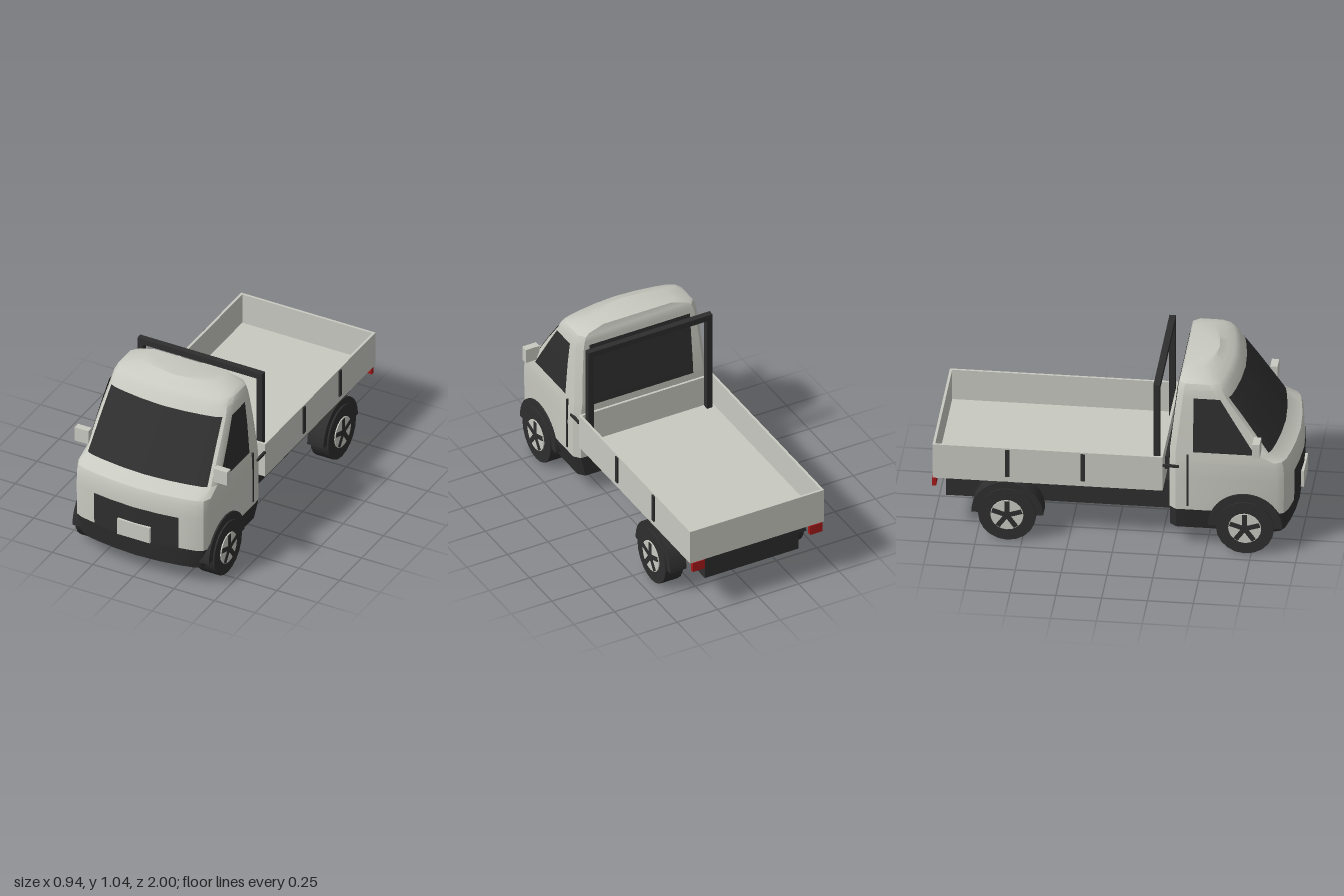
import * as THREE from 'three';
import { toCreasedNormals, mergeVertices } from 'three/addons/utils/BufferGeometryUtils.js';

const paint = new THREE.MeshStandardMaterial({ color: 0xc8c9c0 });
paint.name = 'body paint';
const dark = new THREE.MeshStandardMaterial({ color: 0x2e2e2e, side: THREE.DoubleSide });
dark.name = 'dark trim';
const red = new THREE.MeshStandardMaterial({ color: 0xa81818 });
red.name = 'tail light red';

// Cab levels: height, half width, front z, back z
const LEVELS = [
  [0.12, 0.383, 0.965, 0.3], [0.245, 0.41, 0.982, 0.3], [0.45, 0.411, 0.985, 0.3],
  [0.53, 0.409, 0.982, 0.3], [0.56, 0.407, 0.972, 0.3], [0.6, 0.403, 0.886, 0.3],
  [0.8, 0.388, 0.75, 0.322], [0.92, 0.375, 0.665, 0.336], [0.97, 0.367, 0.64, 0.341],
  [1.0, 0.355, 0.61, 0.346], [1.013, 0.335, 0.57, 0.353], [1.04, 0.24, 0.53, 0.36],
];
// Bow of the cab front: fraction of half width, setback
const BOW = [[0, 0], [0.35, 0.008], [0.65, 0.024], [0.85, 0.04], [0.95, 0.06], [1, 0.1]];

// Linear lookup in a table sorted by its first column
function lookup(table, key, col) {
  let i = 0;
  while (i < table.length - 2 && key > table[i + 1][0]) i++;
  const a = table[i], b = table[i + 1];
  return a[col] + ((key - a[0]) / (b[0] - a[0])) * (b[col] - a[col]);
}
const halfWidth = (y) => lookup(LEVELS, y, 1);
const backZ = (y) => lookup(LEVELS, y, 3);
const frontZ = (x, y) => lookup(LEVELS, y, 2) - lookup(BOW, Math.abs(x) / halfWidth(y), 1);

function ring([y, w, zf, zb]) {
  const half = BOW.map(([f, d]) => [w * f, y, zf - d]);
  half.push([w, y, zb + 0.035], [w - 0.03, y, zb]);
  const other = half.slice(1).reverse().map(([x, h, z]) => [-x, h, z]);
  return [...half, ...other];
}

// Closed loft through stacked rings, capped at both ends
function loft(levels) {
  const rings = levels.map(ring), n = rings[0].length, pos = [], idx = [];
  rings.forEach((r) => r.forEach((p) => pos.push(...p)));
  for (let j = 0; j < rings.length - 1; j++) {
    for (let i = 0; i < n; i++) {
      const a = j * n + i, b = j * n + ((i + 1) % n);
      idx.push(a, b, b + n, a, b + n, a + n);
    }
  }
  const top = (rings.length - 1) * n;
  for (let i = 1; i < n - 1; i++) {
    idx.push(0, i + 1, i);
    idx.push(top, top + i, top + i + 1);
  }
  const g = new THREE.BufferGeometry();
  g.setAttribute('position', new THREE.Float32BufferAttribute(pos, 3));
  g.setIndex(idx);
  return toCreasedNormals(g, 0.55);
}

// Thin sheet following a rule (u, v) -> [x, y, z]
function sheet(rule, nu = 16, nv = 10) {
  const g = new THREE.PlaneGeometry(1, 1, nu, nv), p = g.attributes.position;
  for (let i = 0; i < p.count; i++) p.setXYZ(i, ...rule(p.getX(i) + 0.5, p.getY(i) + 0.5));
  g.computeVertexNormals();
  return g;
}

function add(parent, name, geometry, material) {
  const m = new THREE.Mesh(geometry, material);
  m.name = name;
  parent.add(m);
  return m;
}

// Box given by its limits on each axis
function box(parent, name, material, x0, x1, y0, y1, z0, z1) {
  const m = add(parent, name, new THREE.BoxGeometry(x1 - x0, y1 - y0, z1 - z0), material);
  m.position.set((x0 + x1) / 2, (y0 + y1) / 2, (z0 + z1) / 2);
  return m;
}

// Box on the left side and its mirror on the right
function boxPair(parent, name, material, x0, x1, ...rest) {
  box(parent, name, material, x0, x1, ...rest);
  box(parent, name, material, -x1, -x0, ...rest);
}

function wheel() {
  const g = new THREE.Group();
  const disc = (r, w) => new THREE.CylinderGeometry(r, r, w, 20).rotateZ(Math.PI / 2);
  add(g, 'tyre', disc(0.158, 0.11), dark);
  add(g, 'rim', disc(0.09, 0.01), paint).position.x = 0.056;
  add(g, 'hub', disc(0.024, 0.01), dark).position.x = 0.06;
  for (let i = 0; i < 5; i++) {
    const s = new THREE.BoxGeometry(0.01, 0.082, 0.027).translate(0.06, 0.044, 0);
    add(g, 'spoke', s.rotateX((i * Math.PI * 2) / 5), dark);
  }
  return g;
}

function archGeometry(radius) {
  const s = new THREE.Shape();
  s.absarc(0, 0, radius, 0, Math.PI, false);
  s.absarc(0, 0, 0.155, Math.PI, 0, true);
  const g = new THREE.ExtrudeGeometry(s, { depth: 0.1, bevelEnabled: false, curveSegments: 14 });
  return g.translate(0, 0, -0.05).rotateY(Math.PI / 2);
}

export function createModel() {
  const truck = new THREE.Group();
  truck.name = 'pickupTruck';

  // Cab shell and lower cladding
  const cab = new THREE.Group();
  cab.name = 'cab';
  truck.add(cab);
  add(cab, 'cabShell', loft(LEVELS.slice(1)), paint);
  add(cab, 'lowerCladding', loft(LEVELS.slice(0, 2)), dark);

  // Glass and front panel
  const frontSheet = (w0, w1, y0, y1) => sheet((u, v) => {
    const y = y0 + (y1 - y0) * v, x = (2 * u - 1) * (w0 + (w1 - w0) * v);
    return [x, y + 0.002, frontZ(x, y) + 0.006];
  }, 24, 16);
  add(cab, 'windscreen', frontSheet(0.368, 0.342, 0.602, 0.92), dark);
  add(cab, 'frontPanel', frontSheet(0.26, 0.26, 0.24, 0.443), dark);
  add(cab, 'rearWindow', sheet((u, v) => {
    const y = 0.58 + 0.37 * v;
    return [(1 - 2 * u) * 0.31, y, backZ(y) - 0.005];
  }), dark);
  for (const side of [1, -1]) {
    add(cab, 'sideWindow', sheet((u, v) => {
      const y = 0.603 + 0.32 * v, zFront = 0.77 - 0.195 * v;
      return [side * (halfWidth(y) + 0.004), y, zFront + (0.43 - zFront) * u];
    }), dark);
  }
  box(cab, 'numberPlate', paint, -0.1, 0.1, 0.248, 0.345, 0.97, 1);

  // Mirrors, door seams and door rails
  boxPair(cab, 'mirror', paint, 0.385, 0.47, 0.622, 0.707, 0.76, 0.8);
  boxPair(cab, 'doorSeam', dark, 0.4, 0.416, 0.27, 0.585, 0.395, 0.405);
  boxPair(cab, 'doorRail', dark, 0.405, 0.418, 0.505, 0.519, 0.265, 0.355);

  // Chassis
  box(truck, 'chassis', dark, -0.29, 0.29, 0.18, 0.356, -0.93, 0.31);

  // Load bed: floor and four walls
  const bed = new THREE.Group();
  bed.name = 'loadBed';
  truck.add(bed);
  box(bed, 'bedFloor', paint, -0.414, 0.414, 0.355, 0.38, -0.99, 0.265);
  boxPair(bed, 'bedSide', paint, 0.4, 0.414, 0.38, 0.563, -0.99, 0.265);
  box(bed, 'bedFront', paint, -0.4, 0.4, 0.38, 0.563, 0.251, 0.265);
  box(bed, 'tailgate', paint, -0.4, 0.4, 0.38, 0.563, -0.99, -0.976);
  for (const z of [-0.17, -0.582]) {
    boxPair(bed, 'sideClip', dark, 0.41, 0.422, 0.39, 0.555, z - 0.0125, z + 0.0125);
  }
  box(bed, 'frontBracket', dark, -0.29, 0.29, 0.42, 0.5, 0.265, 0.285);

  // Headboard frame
  boxPair(bed, 'framePost', dark, 0.35, 0.384, 0.38, 0.96, 0.211, 0.246);
  box(bed, 'frameTop', dark, -0.384, 0.384, 0.96, 0.995, 0.211, 0.246);

  // Tail lights
  boxPair(truck, 'tailLight', red, 0.325, 0.4, 0.297, 0.355, -0.995, -0.972);

  // Wheels and arches
  for (const [label, z, radius] of [['front', 0.715, 0.203], ['rear', -0.582, 0.196]]) {
    for (const side of [1, -1]) {
      const w = wheel();
      w.name = label + 'Wheel';
      w.position.set(side * 0.374, 0.16, z);
      if (side < 0) w.rotation.y = Math.PI;
      truck.add(w);
      add(truck, label + 'Arch', archGeometry(radius), dark).position.set(side * 0.37, 0.16, z);
    }
  }
  return truck;
}
